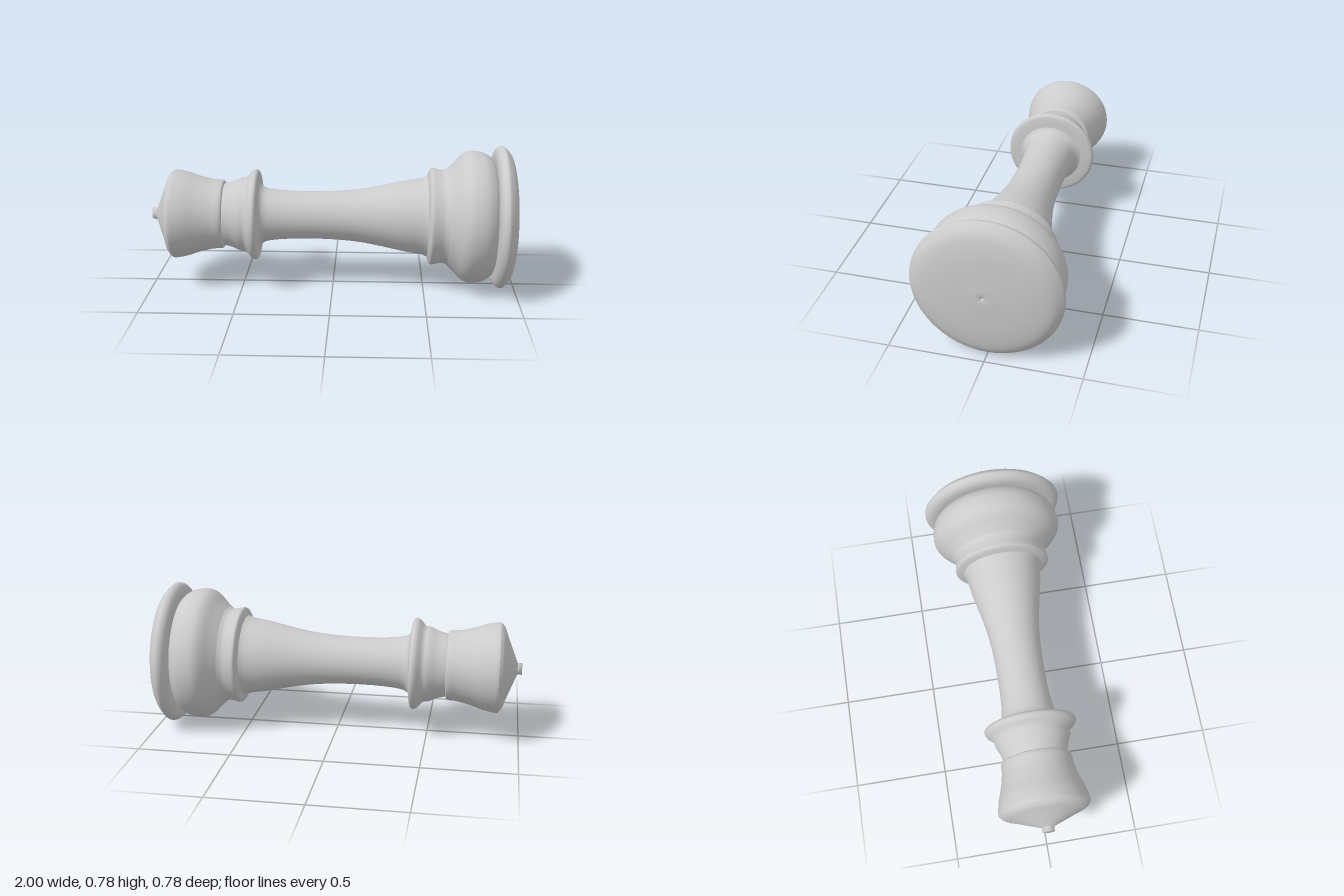
import * as THREE from 'three';

const AXIS_HEIGHT = 0.39;
const SIDES = 48;

// Each turned section: [position along the length, radius], small end to base
const sections = {
  finial: [[-1, 0], [-1, 0.032], [-0.975, 0.032]],
  crownTop: [[-0.977, 0.03], [-0.966, 0.055], [-0.945, 0.108], [-0.92, 0.17], [-0.9, 0.222], [-0.88, 0.244]],
  crown: [[-0.88, 0.244], [-0.865, 0.245], [-0.8, 0.232], [-0.74, 0.212], [-0.66, 0.193], [-0.605, 0.187], [-0.598, 0.172]],
  collar: [[-0.598, 0.172], [-0.585, 0.175], [-0.55, 0.184], [-0.505, 0.204], [-0.475, 0.209], [-0.445, 0.242],
    [-0.425, 0.25], [-0.411, 0.242], [-0.405, 0.222], [-0.4, 0.175]],
  stem: [[-0.4, 0.175], [-0.385, 0.157], [-0.35, 0.144], [-0.2, 0.132], [0, 0.134], [0.14, 0.146], [0.25, 0.165],
    [0.4, 0.197], [0.49, 0.212], [0.515, 0.222]],
  lowerRing: [[0.515, 0.222], [0.525, 0.25], [0.535, 0.265], [0.56, 0.262], [0.6, 0.256], [0.625, 0.266]],
  bulb: [[0.625, 0.266], [0.66, 0.3], [0.7, 0.342], [0.735, 0.36], [0.785, 0.36], [0.83, 0.348], [0.87, 0.316], [0.877, 0.3]],
  baseRim: [[0.877, 0.3], [0.878, 0.345], [0.888, 0.372], [0.905, 0.387], [0.923, 0.39], [0.938, 0.379], [0.967, 0.342],
    [0.985, 0.27], [0.994, 0.19], [0.999, 0.09], [1, 0.012], [0.985, 0]],
};

// Sections left as straight lines instead of being smoothed by a spline
const straight = new Set(['finial']);

function turn(name, points) {
  let profile = points.map(([x, r]) => new THREE.Vector2(r, x));
  if (!straight.has(name)) {
    const curve = new THREE.CatmullRomCurve3(points.map(([x, r]) => new THREE.Vector3(r, x, 0)), false, 'centripetal');
    profile = curve.getPoints((points.length - 1) * 3).map((p) => new THREE.Vector2(Math.max(p.x, 0), p.y));
  }
  const mesh = new THREE.Mesh(
    new THREE.LatheGeometry(profile, SIDES),
    new THREE.MeshStandardMaterial({ color: 0xcccccc, side: THREE.DoubleSide }),
  );
  mesh.name = name;
  return mesh;
}

export function createModel() {
  const model = new THREE.Group();
  model.name = 'chessPiece';

  // The piece lies on its side with the base towards +x
  const piece = new THREE.Group();
  piece.name = 'turnedBody';
  for (const [name, points] of Object.entries(sections)) piece.add(turn(name, points));
  piece.rotation.z = -Math.PI / 2;
  piece.position.y = AXIS_HEIGHT;
  model.add(piece);
  return model;
}
